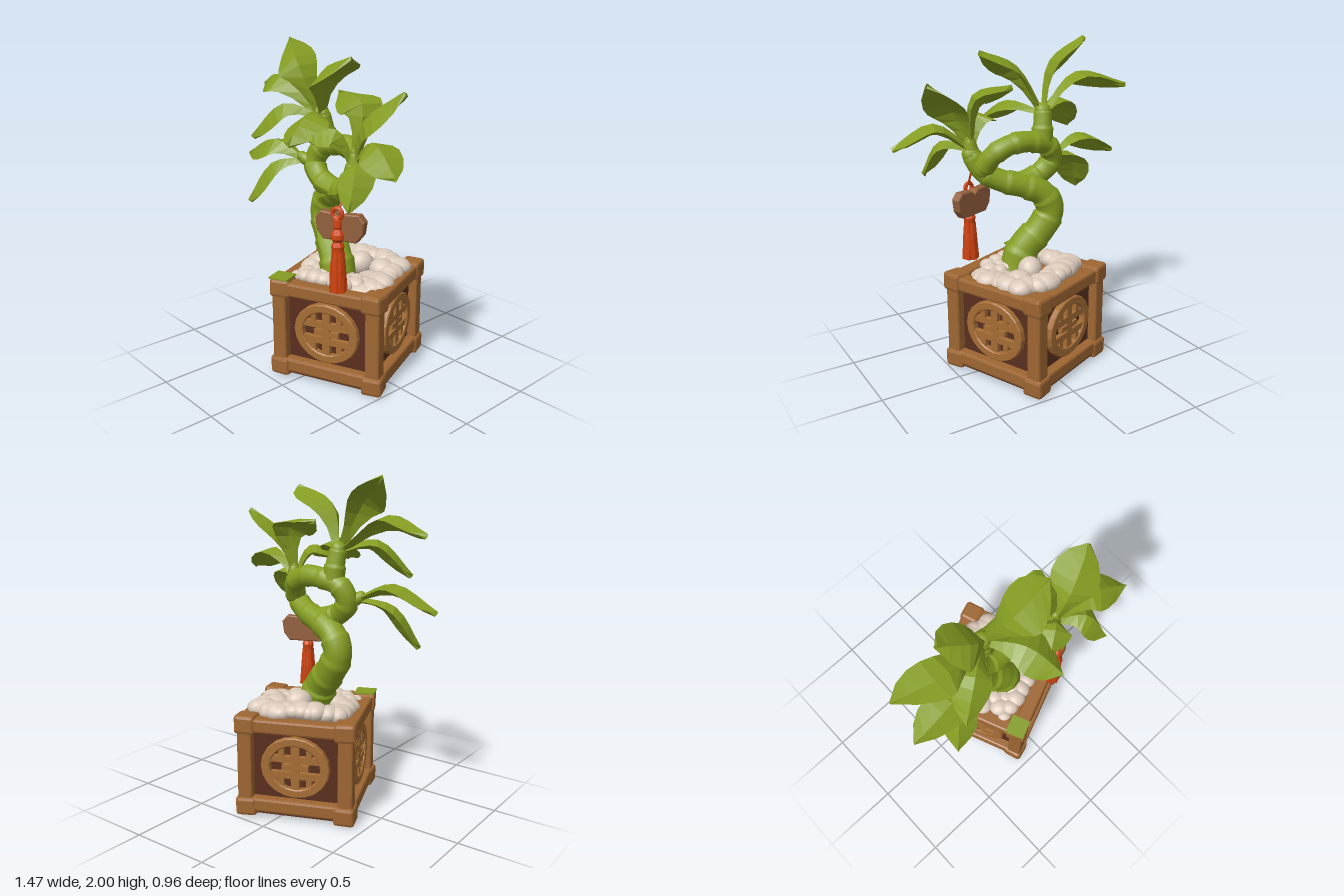
import * as THREE from 'three';
import { RoundedBoxGeometry } from 'three/addons/geometries/RoundedBoxGeometry.js';

const mat = (name, color, side = THREE.FrontSide) => {
  const m = new THREE.MeshStandardMaterial({ color, side });
  m.name = name;
  return m;
};

export function createModel() {
  const root = new THREE.Group();
  root.name = 'pottedBamboo';
  const M = {
    leaf: mat('leaf green', 0x849c22, THREE.DoubleSide),
    stem: mat('stem green', 0x869f22),
    wood: mat('carved wood', 0x9e6632),
    lattice: mat('lattice wood', 0xa56d35),
    charm: mat('charm wood', 0x935f3c),
    panel: mat('dark wood', 0x5a2f1e),
    stone: mat('pale stone', 0xdccbbc),
    red: mat('tassel red', 0xd0430e),
  };
  let seed = 7;
  const rand = () => (seed = (seed * 16807) % 2147483647) / 2147483647;
  const V = (a) => new THREE.Vector3(...a);
  const flat = (g) => {
    const f = g.index ? g.toNonIndexed() : g;
    f.computeVertexNormals();
    return f;
  };
  const add = (parent, name, geo, material, p = [0, 0, 0], r = [0, 0, 0]) => {
    const m = new THREE.Mesh(geo, material);
    m.name = name;
    m.position.set(...p);
    m.rotation.set(...r);
    parent.add(m);
    return m;
  };

  // ---- Square wooden pot, turned on its axis ----
  const pot = new THREE.Group();
  pot.name = 'pot';
  pot.position.set(0.031, 0, -0.014);
  pot.rotation.y = 0.39;
  root.add(pot);
  add(pot, 'potBody', new THREE.BoxGeometry(0.59, 0.535, 0.59), M.panel, [0, 0.3025, 0]);
  add(pot, 'potFloor', new THREE.BoxGeometry(0.69, 0.02, 0.69), M.panel, [0, 0.042, 0]);
  add(pot, 'soil', new THREE.BoxGeometry(0.58, 0.02, 0.58), M.wood, [0, 0.588, 0]);
  const capGeo = flat(new RoundedBoxGeometry(0.128, 0.115, 0.128, 1, 0.02));
  const postGeo = flat(new RoundedBoxGeometry(0.09, 0.44, 0.09, 1, 0.012));
  const railGeo = flat(new RoundedBoxGeometry(0.54, 0.085, 0.09, 1, 0.014));

  // Round lattice: a broad ring filled with crossing bars
  const ring = new THREE.Shape();
  const hole = new THREE.Path();
  for (let i = 0; i < 20; i++) {
    const a = (i / 20) * Math.PI * 2;
    ring[i ? 'lineTo' : 'moveTo'](Math.cos(a) * 0.203, Math.sin(a) * 0.182);
    hole[i ? 'lineTo' : 'moveTo'](Math.cos(-a) * 0.16, Math.sin(-a) * 0.142);
  }
  ring.holes.push(hole);
  const ringGeo = new THREE.ExtrudeGeometry(ring, {
    depth: 0.034, bevelEnabled: true, bevelSize: 0.006, bevelThickness: 0.006, bevelSegments: 1,
  });
  const bars = [ // x, y, width, height
    [0, 0, 0.05, 0.31], [0, 0.05, 0.3, 0.04], [0, -0.05, 0.3, 0.04],
    [-0.085, 0.09, 0.034, 0.08], [0.085, 0.09, 0.034, 0.08],
    [-0.085, -0.09, 0.034, 0.08], [0.085, -0.09, 0.034, 0.08], [0, 0, 0.16, 0.034],
  ];
  for (let k = 0; k < 4; k++) {
    const side = new THREE.Group();
    side.name = 'potSide';
    side.rotation.y = (k * Math.PI) / 2;
    pot.add(side);
    add(side, 'topRail', railGeo, M.wood, [0, 0.578, 0.309]);
    add(side, 'bottomRail', railGeo, M.wood, [0, 0.082, 0.309]);
    add(side, 'cornerPost', postGeo, M.wood, [0.305, 0.32, 0.305]);
    add(side, 'topCap', capGeo, M.wood, [0.3, 0.578, 0.3], [0, 0.08 * (k - 1.5), 0.03]);
    add(side, 'bottomCap', capGeo, M.wood, [0.3, 0.066, 0.3], [0.03, 0.06 * (1.5 - k), 0]);
    add(side, 'latticeRing', ringGeo, M.lattice, [0, 0.33, 0.293]);
    bars.forEach(([x, y, w, h]) =>
      add(side, 'latticeBar', new THREE.BoxGeometry(w, h, 0.034), M.lattice, [x, 0.33 + y, 0.308]));
  }
  add(pot, 'mossPatch', new THREE.BoxGeometry(0.125, 0.009, 0.12), M.leaf, [-0.3, 0.638, 0.3]);

  // ---- Pebbles: a packed bank plus loose stones ----
  const pebbleGeo = new THREE.IcosahedronGeometry(1, 2);
  const pebble = (x, y, z, r, squash = 0.75) => {
    const m = add(root, 'pebble', pebbleGeo, M.stone, [x, y, z], [0, rand() * 6, 0]);
    m.scale.set(r, r * squash, r * (0.85 + rand() * 0.3));
  };
  const bank = new THREE.CatmullRomCurve3([
    [-0.17, 0.63, 0.12], [-0.23, 0.635, -0.09], [-0.13, 0.66, -0.19], [0.05, 0.66, -0.26], [0.2, 0.645, -0.26],
    [0.27, 0.62, -0.08], [0.32, 0.61, 0.07],
  ].map(V));
  for (let i = 0; i < 40; i++) {
    const p = bank.getPoint(i / 39);
    pebble(p.x + (rand() - 0.5) * 0.04, p.y - rand() * 0.02, p.z + (rand() - 0.5) * 0.04, 0.06 + rand() * 0.02);
  }
  pebble(0.05, 0.655, -0.09, 0.085, 0.9);
  pebble(0.17, 0.635, -0.16, 0.08);
  pebble(0.03, 0.602, -0.18, 0.12, 0.35);
  pebble(0.2, 0.602, -0.06, 0.12, 0.3);
  pebble(0.24, 0.602, 0.05, 0.13, 0.3);
  for (let i = 0; i < 18; i++) { // loose stones along the front
    const t = i / 17;
    pebble(-0.14 + t * 0.38, 0.61 + rand() * 0.02, 0.26 - t * 0.1 - (i % 3) * 0.06, 0.042 + rand() * 0.022);
  }

  // ---- Jointed stems: tubes whose radius tapers and swells at each joint ----
  const stem = (name, pts, r0, r1, joints, segs = 48) => {
    const curve = new THREE.CatmullRomCurve3(pts.map(V));
    const g = new THREE.TubeGeometry(curve, segs, 1, 12);
    const pos = g.attributes.position, v = new THREE.Vector3();
    for (let i = 0; i <= segs; i++) {
      const t = i / segs, c = curve.getPointAt(t), f = (t * joints) % 1;
      const r = (r0 + (r1 - r0) * t) * (0.95 + 0.12 * f * f);
      for (let j = 0; j <= 12; j++) {
        const n = i * 13 + j;
        v.fromBufferAttribute(pos, n).sub(c).multiplyScalar(r).add(c);
        pos.setXYZ(n, v.x, v.y, v.z);
      }
    }
    g.computeVertexNormals();
    add(root, name, g, M.stem);
    add(root, name + 'Tip', new THREE.SphereGeometry(r1, 10, 6), M.stem, pts[pts.length - 1]);
  };
  stem('trunk', [[0.05, 0.59, 0.08], [0, 0.73, 0.07], [-0.1, 0.85, 0.035], [-0.16, 0.97, 0.02], [-0.115, 1.075, 0.03],
    [0, 1.135, 0.06], [0.13, 1.175, 0.1], [0.24, 1.24, 0.15], [0.29, 1.34, 0.185]], 0.112, 0.058, 8, 72);
  stem('loop', [[0.02, 1.15, 0.08], [-0.12, 1.19, 0.08], [-0.195, 1.28, 0.06], [-0.15, 1.37, 0.04], [-0.02, 1.41, 0.03],
    [0.1, 1.405, 0.04], [0.2, 1.35, 0.07], [0.24, 1.26, 0.13]], 0.068, 0.064, 7, 64);
  stem('leftBranch', [[-0.11, 1.4, 0.04], [-0.12, 1.49, 0.045], [-0.13, 1.58, 0.06]], 0.072, 0.05, 2, 20);
  stem('rightBranch', [[0.29, 1.34, 0.185], [0.295, 1.39, 0.185], [0.3, 1.44, 0.185]], 0.055, 0.03, 1, 8);
  stem('lowerBud', [[-0.18, 1.28, 0.06], [-0.23, 1.29, 0.09], [-0.26, 1.31, 0.11]], 0.055, 0.032, 1, 8);

  // ---- Leaves: lens cross-sections swept along an arc, edges drooping ----
  const widths = [0.18, 0.25, 0.4, 0.66, 0.9, 1, 0.93, 0.64, 0.06];
  const leaf = (base, mid, tip, width, roll) => {
    const curve = new THREE.CatmullRomCurve3([base, mid, tip].map(V));
    const pos = [], idx = [], n = widths.length - 1;
    const s0 = V(tip).sub(V(base)).setY(0).normalize().cross(new THREE.Vector3(0, 1, 0)).normalize();
    widths.forEach((w, i) => {
      const c = curve.getPoint(i / n), t = curve.getTangent(i / n);
      const side = s0.clone().applyAxisAngle(t, roll);
      const up = side.clone().cross(t).normalize();
      const h = (w * width) / 2;
      [[-h, -0.42 * h], [0, 0.016], [h, -0.42 * h], [0, -0.016]].forEach(([a, b]) => {
        const p = c.clone().addScaledVector(side, a).addScaledVector(up, b);
        pos.push(p.x, p.y, p.z);
      });
      if (i < n) for (let k = 0; k < 4; k++) {
        const a = i * 4 + k, b = i * 4 + ((k + 1) % 4);
        idx.push(a, b, a + 4, b, b + 4, a + 4);
      }
    });
    const g = new THREE.BufferGeometry();
    g.setAttribute('position', new THREE.Float32BufferAttribute(pos, 3));
    g.setIndex(idx);
    add(root, 'leaf', flat(g), M.leaf);
  };
  const top = [-0.13, 1.56, 0.06], right = [0.29, 1.36, 0.19], low = [-0.24, 1.29, 0.1];
  [
    [top, [-0.24, 1.85, 0.14], [-0.42, 1.995, 0.06], 0.26, -0.6],
    [top, [0, 1.83, 0.16], [0.24, 1.93, 0.16], 0.29, 0.25],
    [top, [-0.42, 1.77, 0.13], [-0.72, 1.69, 0.03], 0.24, -0.35],
    [top, [-0.31, 1.62, 0.2], [-0.48, 1.42, 0.31], 0.22, -0.25],
    [top, [0.0, 1.61, 0.26], [0.07, 1.48, 0.47], 0.25, 0.1],
    [low, [-0.45, 1.38, 0.16], [-0.73, 1.25, 0.16], 0.24, -0.35],
    [low, [-0.43, 1.24, 0.2], [-0.55, 1.0, 0.3], 0.22, -0.25],
    [right, [0.385, 1.61, 0.2], [0.59, 1.78, 0.11], 0.28, 0.3],
    [right, [0.5, 1.52, 0.25], [0.73, 1.39, 0.32], 0.23, 0.3],
    [right, [0.43, 1.4, 0.3], [0.5, 1.19, 0.42], 0.2, 0.1],
    [right, [0.29, 1.69, 0.13], [0.06, 1.73, 0.09], 0.24, -0.4],
    [right, [0.22, 1.55, 0.26], [0.09, 1.5, 0.35], 0.22, -0.2],
  ].forEach((a) => leaf(...a));

  // ---- Hanging wooden charm with a red tassel ----
  const plaque = new THREE.Shape([[-0.145, 0.04], [-0.115, 0.075], [-0.03, 0.07], [0, 0.045], [0.03, 0.07], [0.115, 0.075],
    [0.145, 0.04], [0.135, -0.03], [0.1, -0.075], [-0.1, -0.075], [-0.135, -0.03]].map((p) => new THREE.Vector2(...p)));
  add(root, 'woodenCharm', new THREE.ExtrudeGeometry(plaque, { depth: 0.045, bevelSize: 0.006, bevelThickness: 0.006, bevelSegments: 1 }),
    M.charm, [0.25, 1.025, 0.235], [0, 0.385, 0]);
  const cord = new THREE.CatmullRomCurve3([[0.25, 1.28, 0.21], [0.27, 1.2, 0.24], [0.265, 1.13, 0.28]].map(V));
  add(root, 'cord', new THREE.TubeGeometry(cord, 8, 0.007, 6), M.red);
  add(root, 'cordKnot', new THREE.SphereGeometry(0.02, 8, 6), M.red, [0.25, 1.27, 0.215]);
  add(root, 'tasselLoop', new THREE.TorusGeometry(0.03, 0.013, 6, 14), M.red, [0.262, 1.105, 0.287], [0, 0.385, 0]);
  const bell = [[0.001, 1.085], [0.024, 1.07], [0.028, 1.03], [0.022, 1.015], [0.038, 0.985], [0.04, 0.96], [0.026, 0.94],
    [0.038, 0.915], [0.034, 0.885], [0.045, 0.78], [0.05, 0.645], [0.001, 0.65]].reverse();
  add(root, 'tassel', flat(new THREE.LatheGeometry(bell.map((p) => new THREE.Vector2(...p)), 10)), M.red, [0.262, 0, 0.285]);
  for (let i = 0; i < 7; i++) {
    const a = (i / 7) * Math.PI * 2;
    add(root, 'tasselStrand', new THREE.CylinderGeometry(0.006, 0.012, 0.24, 5), M.red,
      [0.262 + Math.cos(a) * 0.038, 0.765, 0.285 + Math.sin(a) * 0.038], [Math.sin(a) * -0.05, 0, Math.cos(a) * 0.05]);
  }
  return root;
}
